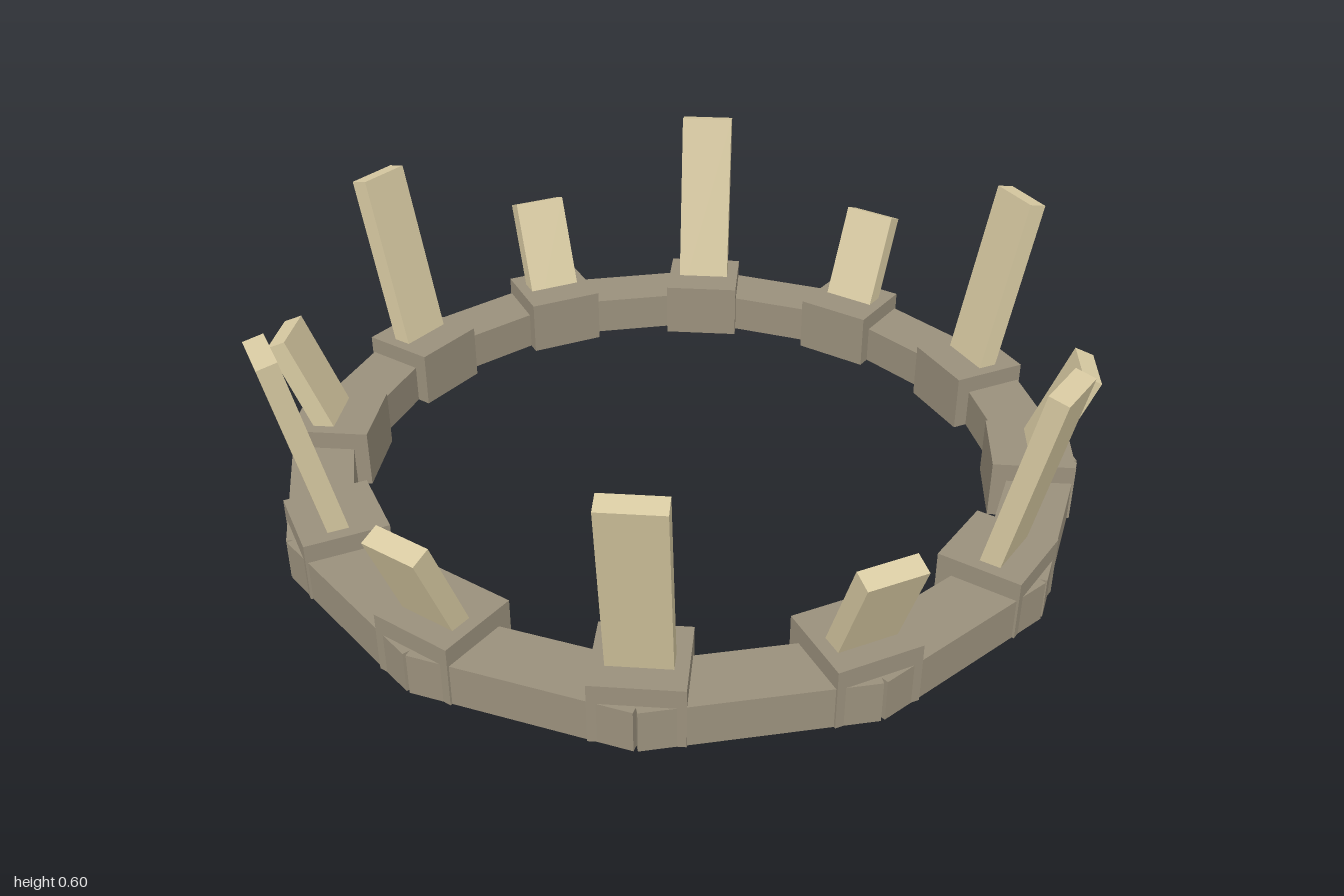
import * as THREE from 'three';

export function createModel() {
  const model = new THREE.Group();
  model.name = 'prongedRing';

  const stone = new THREE.MeshStandardMaterial({ color: 0x9a907c });
  stone.name = 'grey brown stone';
  const bone = new THREE.MeshStandardMaterial({ color: 0xd8caa2 });
  bone.name = 'pale bone';

  const COUNT = 12;
  const STEP = (Math.PI * 2) / COUNT;

  // Box given by its extents, in a sector frame where +z points outward
  function box(name, material, width, y0, y1, r0, r1) {
    const geometry = new THREE.BoxGeometry(width, y1 - y0, r1 - r0);
    geometry.translate(0, (y0 + y1) / 2, (r0 + r1) / 2);
    const mesh = new THREE.Mesh(geometry, material);
    mesh.name = name;
    return mesh;
  }

  // Prong leaning outward, placed by the inner edge of its tip
  function prong(name, tipHeight, lean) {
    const thickness = 0.048;
    const length = (tipHeight - 0.06) / Math.cos(lean);
    const geometry = new THREE.BoxGeometry(0.14, length, thickness);
    geometry.translate(0, -length / 2, thickness / 2);
    const mesh = new THREE.Mesh(geometry, bone);
    mesh.name = name;
    mesh.position.set(0, tipHeight, 0.953);
    mesh.rotation.x = lean;
    return mesh;
  }

  for (let i = 0; i < COUNT; i++) {
    // Straight ring bar between two blocks
    const bar = box('ringBar', stone, 0.5, 0, 0.1, 0.8, 0.95);
    bar.rotation.y = (i + 0.5) * STEP;
    model.add(bar);

    // Block on the joint with a tall or short prong
    const station = new THREE.Group();
    station.name = 'prongStation';
    station.add(box('block', stone, 0.2, 0, 0.145, 0.765, 0.962));
    station.add(i % 2 === 0 ? prong('tallProng', 0.597, 0.222) : prong('shortProng', 0.38, 0.39));
    station.rotation.y = i * STEP;
    model.add(station);
  }

  return model;
}
